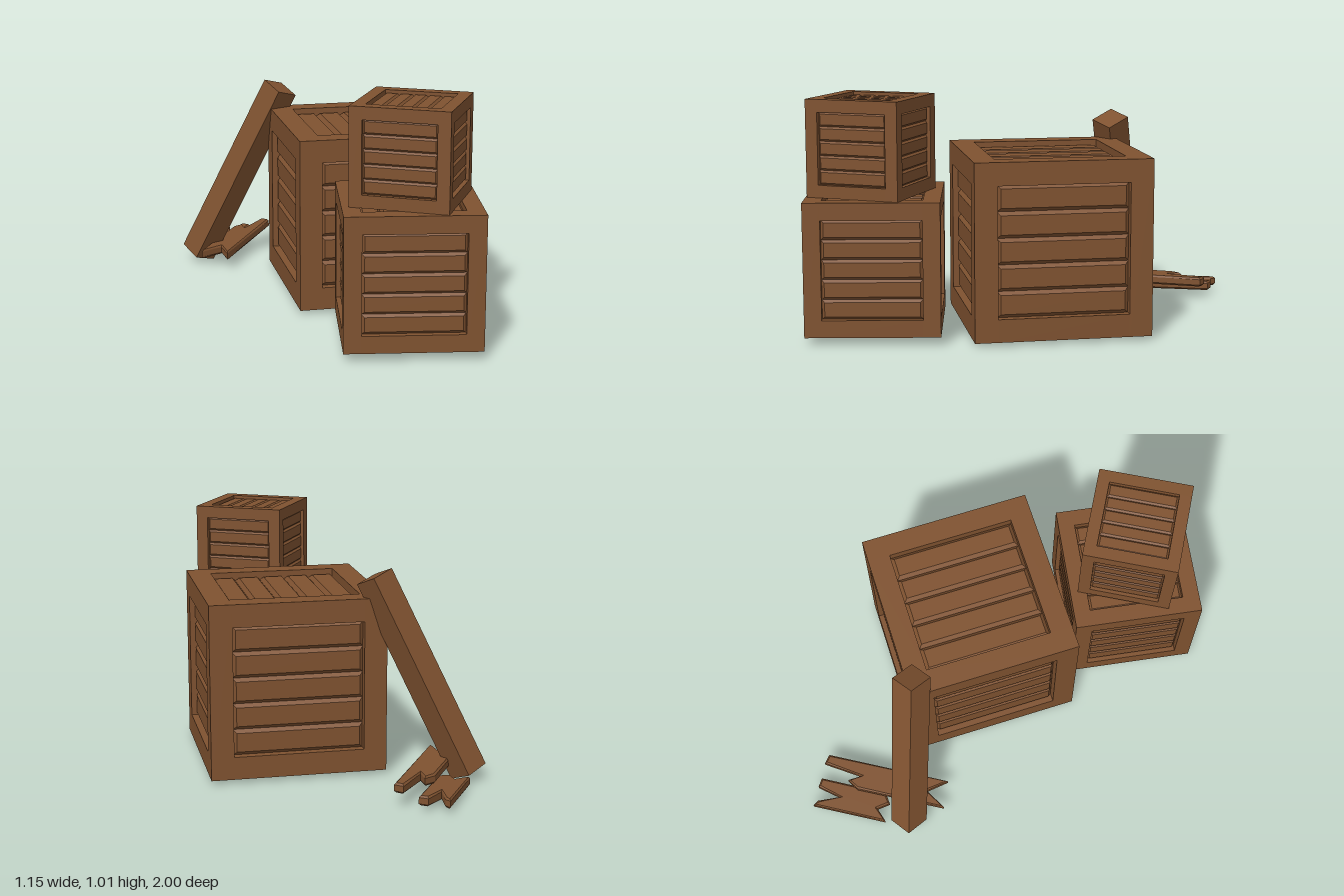
import * as THREE from 'three';

const wood = new THREE.MeshStandardMaterial({ color: 0x7f5230, flatShading: true });

function box(name, w, h, d, x = 0, y = 0, z = 0) {
  const mesh = new THREE.Mesh(new THREE.BoxGeometry(w, h, d), wood);
  mesh.name = name;
  mesh.position.set(x, y, z);
  return mesh;
}

// Board whose front face is inset by a chamfer; front lies at z = 0
function slatGeometry(length, height, thickness, chamfer) {
  const shape = new THREE.Shape([
    [-1, -1], [1, -1], [1, 1], [-1, 1],
  ].map(([x, y]) => new THREE.Vector2(x * length / 2, y * height / 2)));
  const geo = new THREE.ExtrudeGeometry(shape, {
    depth: thickness - chamfer, bevelEnabled: true, bevelSegments: 1,
    bevelSize: chamfer, bevelOffset: -chamfer, bevelThickness: chamfer,
  });
  return geo.translate(0, 0, -thickness + chamfer);
}

// Square crate: beam frame and five chamfered slats in each of six recesses
function crate(name, size, x, bottom, z, angle) {
  const group = new THREE.Group();
  group.name = name;
  const w = size * 0.13, opening = size - 2 * w, o = (size - w) / 2;
  for (const a of [-1, 1]) {
    for (const b of [-1, 1]) {
      group.add(box('framePost', w, size, w, a * o, 0, b * o));
      group.add(box('frameRailAcross', opening, w, w, 0, a * o, b * o));
      group.add(box('frameRailDeep', w, w, opening, a * o, b * o, 0));
    }
  }

  const count = 5, pitch = opening / count;
  const slat = slatGeometry(opening, pitch, size * 0.06, size * 0.02);
  // Sides have level slats; top and bottom slats run front to back
  const turns = [
    [0, 0, 0], [0, Math.PI / 2, 0], [0, Math.PI, 0], [0, -Math.PI / 2, 0],
    [-Math.PI / 2, 0, Math.PI / 2], [Math.PI / 2, 0, Math.PI / 2],
  ];
  for (const turn of turns) {
    const panel = new THREE.Group();
    panel.name = 'slatPanel';
    for (let i = 0; i < count; i++) {
      const mesh = new THREE.Mesh(slat, wood);
      mesh.name = 'slat';
      mesh.position.set(0, (i - (count - 1) / 2) * pitch, size * 0.45);
      panel.add(mesh);
    }
    panel.rotation.set(...turn);
    group.add(panel);
  }
  group.position.set(x, bottom + size / 2, z);
  group.rotation.y = angle;
  return group;
}

// Splintered board: jagged outline (across, along) with chamfered edges
function brokenBoard(name, outline, x, y, z, tilt) {
  const c = 0.008;
  const shape = new THREE.Shape(outline.map(([u, v]) => new THREE.Vector2(u, v)));
  const geo = new THREE.ExtrudeGeometry(shape, {
    depth: 0.026, bevelEnabled: true, bevelSegments: 1,
    bevelSize: c, bevelOffset: -c, bevelThickness: c,
  });
  geo.translate(0, 0, c).rotateX(-Math.PI / 2).rotateX(tilt);
  const mesh = new THREE.Mesh(geo, wood);
  mesh.name = name;
  mesh.position.set(x, y, z);
  mesh.rotation.y = -Math.PI / 6;
  return mesh;
}

export function createModel() {
  const model = new THREE.Group();
  model.name = 'crateStack';

  model.add(crate('largeCrate', 0.755, 0.195, 0.02, -0.078, 0));
  model.add(crate('mediumCrate', 0.567, 0.195, 0.04, 0.668, -0.16));
  model.add(crate('smallCrate', 0.412, 0.202, 0.607, 0.683, -0.51));

  // Beam leaning on the back corner of the large crate
  const beam = box('leaningBeam', 0.111, 0.922, 0.117, -0.317, 0.4525, -0.5175);
  const along = new THREE.Vector3(0.376, 0.825, 0.169).normalize();
  const across = new THREE.Vector3(0.09, -0.03, -0.058);
  const depth = across.clone().cross(along).normalize();
  across.crossVectors(along, depth);
  beam.quaternion.setFromRotationMatrix(new THREE.Matrix4().makeBasis(across, along, depth));
  model.add(beam);

  // Broken boards lying on the floor
  model.add(brokenBoard('upperBrokenBoard', [
    [0, 0], [0.06, 0.095], [0.124, 0.01], [0.128, 0.575], [0.085, 0.585],
    [0.063, 0.405], [0.03, 0.46], [0, 0.41],
  ], -0.51, 0.055, -0.434, 0.015));
  model.add(brokenBoard('lowerBrokenBoard', [
    [0, 0], [0.05, 0.05], [0.085, 0], [0.13, 0.03], [0.132, 0.335], [0.09, 0.34],
    [0.065, 0.23], [0.025, 0.325], [0, 0.34],
  ], -0.479, 0.012, -0.709, 0.04));

  return model;
}
